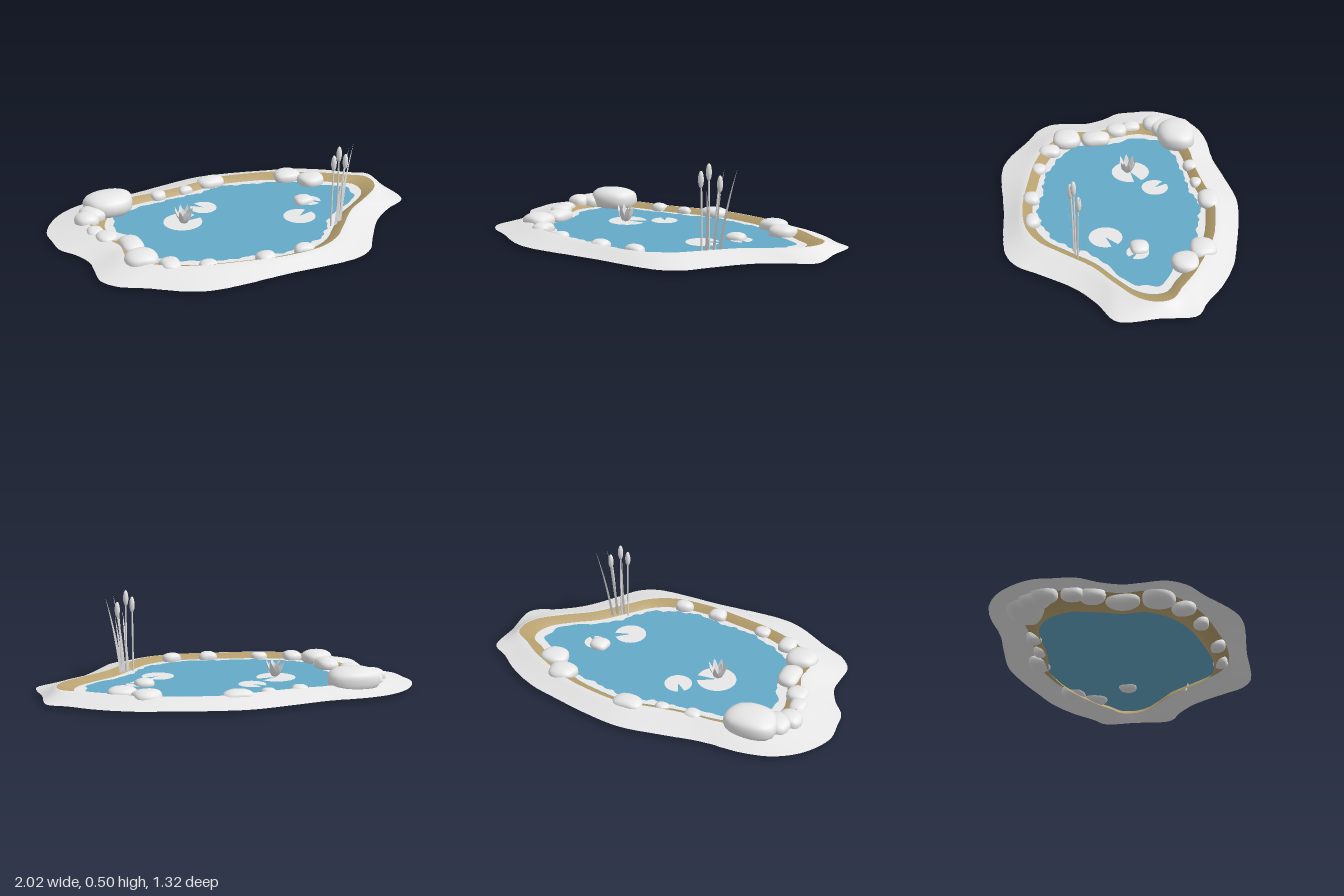
import * as THREE from 'three';
import { mergeVertices } from 'three/addons/utils/BufferGeometryUtils.js';

const N = 240; // samples around the pond
const WATER_Y = 0.032;

// Outlines as [x, z], turned into a radius for each angle around the centre
const outerPoints = [[-1, -.31], [-.92, -.455], [-.8, -.55], [-.64, -.595], [-.4, -.6], [-.21, -.63], [.03, -.66],
  [.22, -.635], [.43, -.585], [.62, -.53], [.78, -.445], [.91, -.34], [1, -.28], [1, -.1], [1, .12], [.86, .2],
  [.725, .305], [.59, .48], [.51, .59], [.4, .645], [0, .645], [-.4, .645], [-.53, .605], [-.72, .48], [-.84, .41],
  [-.9, .32], [-.895, .2], [-.89, .11], [-.93, 0], [-.99, -.09], [-1, -.2]];
const lipPoints = [[-.61, -.43], [-.45, -.465], [-.26, -.47], [-.06, -.495], [.08, -.52], [.3, -.49], [.43, -.455],
  [.7, -.32], [.83, -.225], [.91, -.17], [.925, -.09], [.885, 0], [.75, .11], [.62, .2], [.47, .365], [.375, .465],
  [.24, .53], [.03, .54], [-.21, .5], [-.4, .455], [-.56, .385], [-.665, .3], [-.72, .2], [-.71, .08], [-.735, 0],
  [-.77, -.13], [-.78, -.22], [-.72, -.35]];

function radii(points) {
  const curve = new THREE.CatmullRomCurve3(points.map(([x, z]) => new THREE.Vector3(x, 0, z)), true, 'centripetal');
  const dense = curve.getPoints(1500);
  return Array.from({ length: N }, (_, i) => {
    const a = (i / N) * Math.PI * 2;
    const dx = Math.cos(a), dz = Math.sin(a);
    let best = dense[0], bestDot = -2;
    for (const p of dense) {
      const dot = (p.x * dx + p.z * dz) / Math.hypot(p.x, p.z);
      if (dot > bestDot) { bestDot = dot; best = p; }
    }
    return Math.hypot(best.x, best.z);
  });
}

// Upward-facing surface through rings given from outside to inside
function loft(rings) {
  const pos = [], index = [];
  for (const [radius, y] of rings) {
    for (let i = 0; i < N; i++) {
      const a = (i / N) * Math.PI * 2;
      pos.push(radius[i] * Math.cos(a), y, radius[i] * Math.sin(a));
    }
  }
  for (let r = 0; r < rings.length - 1; r++) {
    for (let i = 0; i < N; i++) {
      const j = (i + 1) % N, a = r * N, b = a + N;
      index.push(a + i, b + i, a + j, a + j, b + i, b + j);
    }
  }
  const g = new THREE.BufferGeometry();
  g.setAttribute('position', new THREE.Float32BufferAttribute(pos, 3));
  g.setIndex(index);
  g.computeVertexNormals();
  return g;
}

// Rounded, slightly lumpy stone
function stoneGeometry(rx, ry, rz, seed) {
  let g = new THREE.SphereGeometry(1, 24, 16);
  g.deleteAttribute('uv');
  g.deleteAttribute('normal');
  g = mergeVertices(g, 1e-4);
  const p = g.attributes.position, v = new THREE.Vector3();
  for (let i = 0; i < p.count; i++) {
    v.fromBufferAttribute(p, i);
    const boxy = Math.pow(v.x ** 4 + v.y ** 4 + v.z ** 4, -0.13);
    const lump = 1 + 0.07 * Math.sin(2.3 * v.x + seed * 1.7) + 0.07 * Math.sin(2.9 * v.z + seed * 2.9);
    const k = 0.95 * boxy * lump;
    p.setXYZ(i, v.x * k * rx, v.y * Math.min(boxy, 1.08) * ry, v.z * k * rz);
  }
  g.computeVertexNormals();
  return g;
}

// Strip along a path with a width for each step, spread along the side direction
function blade(pathAt, widthAt, side, steps = 12) {
  const pos = [], index = [];
  for (let i = 0; i <= steps; i++) {
    const t = i / steps, p = pathAt(t), w = widthAt(t);
    for (const s of [-1, 1]) pos.push(p.x + side.x * w * s, p.y + side.y * w * s, p.z + side.z * w * s);
    if (i < steps) index.push(2 * i, 2 * i + 1, 2 * i + 2, 2 * i + 1, 2 * i + 3, 2 * i + 2);
  }
  const g = new THREE.BufferGeometry();
  g.setAttribute('position', new THREE.Float32BufferAttribute(pos, 3));
  g.setIndex(index);
  g.computeVertexNormals();
  return g;
}

export function createModel() {
  const model = new THREE.Group();
  model.name = 'gardenPond';
  const pale = new THREE.MeshStandardMaterial({ name: 'pale grey', color: 0xebebeb, side: THREE.DoubleSide });
  const blue = new THREE.MeshStandardMaterial({ name: 'water blue', color: 0x64a9c7, side: THREE.DoubleSide });
  const sand = new THREE.MeshStandardMaterial({ name: 'sand', color: 0xb7a06e, side: THREE.DoubleSide });
  const add = (parent, name, geometry, material) => {
    const m = new THREE.Mesh(geometry, material);
    m.name = name;
    parent.add(m);
    return m;
  };
  const group = (name) => {
    const g = new THREE.Group();
    g.name = name;
    model.add(g);
    return g;
  };

  // Ground rim, sandy basin and water
  const outer = radii(outerPoints), lip = radii(lipPoints);
  const scaled = (k) => lip.map((r) => r * k);
  const between = (t) => outer.map((r, i) => r + (lip[i] - r) * t);
  add(model, 'groundRim', loft([[outer, .016], [between(.35), .031], [between(.7), .05], [between(.9), .059], [lip, .061]]), pale);
  add(model, 'sandBank', loft([[lip, .061], [scaled(.96), .052], [scaled(.9), WATER_Y], [scaled(.87), .014], [scaled(.85), 0]]), sand);
  add(model, 'water', loft([[scaled(.9), WATER_Y], [scaled(.45), WATER_Y], [scaled(0), WATER_Y]]), blue);

  // Ragged pale edge floating on the water
  const ragged = lip.map((r, i) => {
    const a = (i / N) * Math.PI * 2;
    return r * (.835 + .013 * Math.sin(9 * a + 1) + .01 * Math.sin(23 * a) + .008 * Math.sin(47 * a + 2));
  });
  add(model, 'waterEdge', loft([[scaled(.9), WATER_Y + .002], [ragged, WATER_Y + .002]]), pale);

  // Stones: x, z, half width, half depth, top
  const stones = group('stones');
  [[-.605, -.405, .15, .112, .142], [-.725, -.35, .075, .08, .1], [-.775, -.29, .065, .075, .1],
    [-.775, -.155, .052, .055, .075], [-.735, -.06, .06, .068, .08], [-.645, .075, .065, .09, .09],
    [-.66, .25, .085, .095, .1], [-.54, .36, .06, .06, .08], [-.355, .43, .05, .045, .068],
    [-.055, .49, .055, .05, .078], [.16, .49, .056, .045, .08], [-.295, -.445, .05, .04, .075],
    [-.12, -.455, .042, .035, .07], [.055, -.49, .082, .065, .083], [.5, -.39, .085, .07, .088],
    [.615, -.275, .082, .075, .085], [.45, -.06, .058, .052, .068],
  ].forEach(([x, z, rx, rz, top], i) => {
    const ry = (top - .008) / 2;
    add(stones, 'stone', stoneGeometry(rx, ry, rz, i + 1), pale).position.set(x, .008 + ry, z);
  });

  // Lily pads with a notch: x, z, radius, notch direction in the top plane
  const pads = group('lilyPads');
  [[-.285, -.095, .108, .3], [-.11, -.215, .075, 2.2], [.335, .11, .09, .5], [.485, -.045, .06, -.8]].forEach(([x, z, r, notch]) => {
    const pad = add(pads, 'lilyPad', new THREE.CircleGeometry(r, 36, notch + .22, Math.PI * 2 - .44), pale);
    pad.rotation.x = -Math.PI / 2;
    pad.position.set(x, WATER_Y + .004, z);
  });

  // Water lily flower
  const flower = group('lilyFlower');
  flower.position.set(-.285, WATER_Y + .005, -.077);
  for (const [count, reach, height, turn] of [[8, .046, .09, 0], [6, .024, .075, .3]]) {
    for (let i = 0; i < count; i++) {
      const petal = blade(
        (t) => new THREE.Vector3(.008 + reach * Math.pow(t, .8), height * Math.pow(t, 1.3), 0),
        (t) => .016 * Math.pow(Math.sin(Math.PI * (.12 + .88 * t)), .8),
        new THREE.Vector3(0, 0, 1), 8);
      add(flower, 'petal', petal, pale).rotation.y = turn + (i / count) * Math.PI * 2;
    }
  }

  // Cattails: base x, base z, top x, top z, top y
  const reeds = group('reeds');
  [[.437, .288, .436, .298, .455], [.477, .28, .474, .284, .495], [.505, .27, .527, .263, .435]].forEach(([bx, bz, tx, tz, ty]) => {
    const path = new THREE.QuadraticBezierCurve3(
      new THREE.Vector3(bx, .02, bz), new THREE.Vector3(bx, .25, bz), new THREE.Vector3(tx, ty - .02, tz));
    add(reeds, 'stem', new THREE.TubeGeometry(path, 10, .005, 7), pale);
    const head = add(reeds, 'seedHead', new THREE.SphereGeometry(1, 14, 12), pale);
    head.scale.set(.015, .045, .015);
    head.position.set(tx, ty - .043, tz);
  });

  // Long leaves: base, bend, tip
  [[[.515, .03, .238], [.54, .25, .235], [.602, .475, .216]], [[.495, .03, .262], [.505, .28, .262], [.55, .475, .258]],
    [[.465, .03, .29], [.48, .25, .295], [.485, .37, .325]], [[.5, .03, .275], [.515, .2, .275], [.54, .36, .272]],
  ].forEach((pts) => {
    const path = new THREE.QuadraticBezierCurve3(...pts.map((p) => new THREE.Vector3(...p)));
    const leaf = blade((t) => path.getPoint(t), (t) => .008 * (1 - t * t), new THREE.Vector3(1, 0, 0));
    add(reeds, 'leaf', leaf, pale);
  });

  return model;
}
